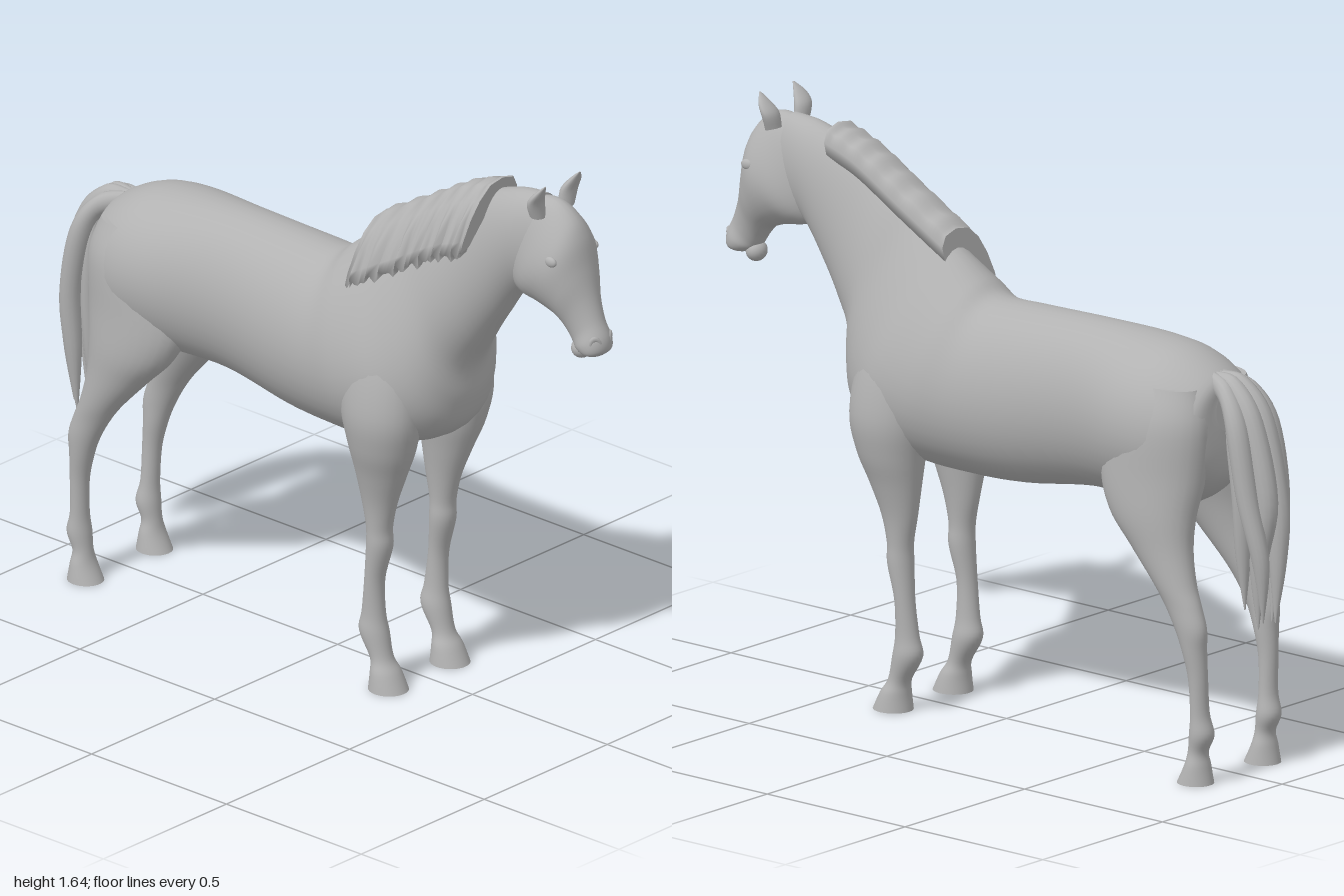
import * as THREE from 'three';

const coat = new THREE.MeshStandardMaterial({ color: 0xb2b2b2 });
coat.name = 'grey coat';

// Skins a list of closed rings (arrays of Vector3), with flat caps at both ends
function skin(rings) {
  const n = rings[0].length, pos = [], idx = [];
  rings.forEach(r => r.forEach(p => pos.push(p.x, p.y, p.z)));
  for (let i = 0; i < rings.length - 1; i++) for (let j = 0; j < n; j++) {
    const a = i * n + j, b = i * n + (j + 1) % n;
    idx.push(a, b, b + n, a, b + n, a + n);
  }
  [rings[0], rings[rings.length - 1]].forEach((r, e) => {
    const s = pos.length / 3, c = new THREE.Vector3();
    r.forEach(p => { pos.push(p.x, p.y, p.z); c.addScaledVector(p, 1 / n); });
    pos.push(c.x, c.y, c.z);
    for (let j = 0; j < n; j++) {
      const a = s + j, b = s + (j + 1) % n;
      e ? idx.push(a, b, s + n) : idx.push(b, a, s + n);
    }
  });
  // Turn the faces outward if the enclosed volume is negative
  let vol = 0;
  const v = k => new THREE.Vector3().fromArray(pos, idx[k] * 3);
  for (let k = 0; k < idx.length; k += 3) vol += v(k).dot(v(k + 1).cross(v(k + 2)));
  if (vol < 0) idx.reverse();
  const g = new THREE.BufferGeometry();
  g.setAttribute('position', new THREE.Float32BufferAttribute(pos, 3));
  g.setIndex(idx);
  g.computeVertexNormals();
  return g;
}

// Smooth values between the rows of a table
function sample(rows, t) {
  const f = t * (rows.length - 1), i = Math.min(Math.floor(f), rows.length - 2), u = f - i;
  const at = k => rows[Math.max(0, Math.min(rows.length - 1, k))];
  return rows[0].map((_, c) => {
    const p0 = at(i - 1)[c], p1 = at(i)[c], p2 = at(i + 1)[c], p3 = at(i + 2)[c];
    return p1 + 0.5 * u * (p2 - p0 + u * (2 * p0 - 5 * p1 + 4 * p2 - p3 + u * (3 * (p1 - p2) + p3 - p0)));
  });
}

// Loft through ovals: [zA, yA, zB, yB, half width, centre x, narrowing toward A]
function loft(rows, sides = 28, steps = 5) {
  const full = rows.map(r => [...r, 0, 0].slice(0, 7)), rings = [];
  const count = (rows.length - 1) * steps;
  for (let i = 0; i <= count; i++) {
    const [zA, yA, zB, yB, w, x, k] = sample(full, i / count);
    rings.push(Array.from({ length: sides }, (_, j) => {
      const a = j / sides * Math.PI * 2, s = Math.sin(a), h = 0.5 + s / 2;
      return new THREE.Vector3(x + w * Math.cos(a) * (1 - k * s), yB + (yA - yB) * h, zB + (zA - zB) * h);
    }));
  }
  return skin(rings);
}

const torsoRows = [ // rump to poll, top point then bottom point
  [-0.80, 1.08, -0.81, 0.97, 0.05, 0, 0], [-0.785, 1.125, -0.80, 0.84, 0.14, 0, 0],
  [-0.68, 1.18, -0.70, 0.75, 0.20, 0, 0], [-0.55, 1.2, -0.55, 0.735, 0.21, 0, 0],
  [-0.34, 1.205, -0.34, 0.73, 0.175, 0, 0], [-0.1, 1.2, -0.1, 0.695, 0.19, 0, 0.05],
  [0.02, 1.2, 0.08, 0.69, 0.205, 0, 0.1], [0.08, 1.24, 0.24, 0.7, 0.22, 0, 0.2],
  [0.15, 1.29, 0.38, 0.74, 0.215, 0, 0.3], [0.22, 1.335, 0.465, 0.80, 0.185, 0, 0.3],
  [0.3, 1.385, 0.50, 0.89, 0.15, 0, 0.3], [0.37, 1.43, 0.51, 0.99, 0.125, 0, 0.25],
  [0.45, 1.475, 0.56, 1.08, 0.105, 0, 0.2], [0.55, 1.53, 0.62, 1.17, 0.09, 0, 0.1],
  [0.68, 1.575, 0.70, 1.28, 0.08, 0, 0], [0.77, 1.585, 0.78, 1.31, 0.065, 0, 0],
];
const headRows = [ // poll to upper lip, forehead point then jaw point
  [0.74, 1.575, 0.665, 1.35, 0.05], [0.82, 1.582, 0.68, 1.295, 0.075, 0, 0.1],
  [0.88, 1.545, 0.72, 1.275, 0.095, 0, 0.1], [0.912, 1.49, 0.78, 1.265, 0.097],
  [0.93, 1.41, 0.84, 1.245, 0.08], [0.95, 1.33, 0.87, 1.215, 0.059],
  [0.973, 1.265, 0.89, 1.185, 0.05], [0.996, 1.215, 0.905, 1.17, 0.054],
  [0.998, 1.18, 0.93, 1.16, 0.046], [0.982, 1.163, 0.95, 1.158, 0.024],
];
const foreLegRows = [ // hoof to shoulder, front point then back point
  [0.36, 0, 0.245, 0, 0.055, 0.125], [0.335, 0.05, 0.25, 0.05, 0.046, 0.125],
  [0.31, 0.09, 0.245, 0.09, 0.034, 0.125], [0.295, 0.16, 0.205, 0.16, 0.039, 0.125],
  [0.285, 0.22, 0.215, 0.22, 0.031, 0.127], [0.285, 0.32, 0.228, 0.32, 0.03, 0.13],
  [0.31, 0.42, 0.235, 0.42, 0.038, 0.128], [0.311, 0.48, 0.235, 0.48, 0.037, 0.129],
  [0.33, 0.56, 0.22, 0.56, 0.045, 0.13], [0.365, 0.65, 0.205, 0.65, 0.063, 0.135],
  [0.4, 0.74, 0.19, 0.74, 0.085, 0.142], [0.42, 0.85, 0.17, 0.85, 0.095, 0.146],
  [0.4, 1.0, 0.16, 1.0, 0.08, 0.13], [0.33, 1.1, 0.2, 1.1, 0.04, 0.11],
];
const hindLegRows = [ // hoof to haunch
  [-0.755, 0, -0.86, 0, 0.05, 0.14], [-0.78, 0.05, -0.85, 0.05, 0.041, 0.14],
  [-0.79, 0.09, -0.845, 0.09, 0.031, 0.14], [-0.795, 0.14, -0.865, 0.14, 0.036, 0.14],
  [-0.8, 0.2, -0.852, 0.2, 0.029, 0.143], [-0.795, 0.3, -0.85, 0.3, 0.028, 0.147],
  [-0.775, 0.38, -0.848, 0.38, 0.034, 0.15], [-0.75, 0.44, -0.85, 0.44, 0.038, 0.152],
  [-0.715, 0.5, -0.83, 0.5, 0.042, 0.151], [-0.67, 0.56, -0.805, 0.56, 0.052, 0.148],
  [-0.585, 0.65, -0.785, 0.65, 0.068, 0.14], [-0.5, 0.74, -0.785, 0.74, 0.085, 0.13],
  [-0.46, 0.85, -0.8, 0.85, 0.1, 0.11], [-0.5, 1.0, -0.808, 1.0, 0.1, 0.1],
  [-0.58, 1.1, -0.775, 1.1, 0.07, 0.09],
];
const earRows = [
  [0.815, 1.54, 0.775, 1.55, 0.026, 0.058], [0.815, 1.585, 0.78, 1.59, 0.032, 0.068],
  [0.825, 1.615, 0.803, 1.62, 0.023, 0.073], [0.836, 1.645, 0.832, 1.645, 0.003, 0.07],
];

// Mane: a thick blanket over the crest with a ragged hem on the right side
function maneGeometry() {
  const crest = [[0.61, 1.55], [0.5, 1.51], [0.35, 1.425], [0.18, 1.33]];
  const rings = [], count = 48;
  for (let i = 0; i <= count; i++) {
    const [z, y] = sample(crest, i / count);
    const rag = 0.012 * Math.sin(i * 1.3) + 0.012 * Math.sin(i * 2.1 + 1);
    const ripple = 0.004 * Math.sin(i * 0.9);
    const slice = [
      [0.055, -0.05], [0.062, -0.01], [0.045, 0.022 + ripple], [0, 0.035 + ripple], [-0.05, 0.027 + ripple],
      [-0.09, -0.01], [-0.118 - rag * 0.4, -0.06], [-0.14 - rag * 0.7, -0.12], [-0.148 - rag * 0.5, -0.16 + rag],
      [-0.12, -0.15 + rag], [-0.09, -0.1], [-0.05, -0.04], [0, -0.03],
    ];
    rings.push(slice.map(([x, dy]) => new THREE.Vector3(x, y + dy, z + dy * 0.1)));
  }
  return skin(rings);
}

// Tail strand: follows a path from dock to tip, given depth at the back, tip position and side offset
function strand(back, tipZ, tipY, x) {
  const midY = (0.8 + tipY) / 2;
  return loft([
    [-0.77, 1.135, -0.77, 1.08, 0.02, x * 0.3],
    [-0.84 - back * 0.1, 1.085 + back * 0.45, -0.83, 1.04 + back * 0.2, 0.03, x * 0.7],
    [-0.885 - back * 0.55, 0.98 + back * 0.5, -0.835 - back * 0.5, 0.95 + back * 0.3, 0.034, x],
    [-0.9 - back, 0.8, -0.85 - back * 0.8, 0.8, 0.031, x],
    [tipZ - 0.02 - back * 0.12, midY, tipZ + 0.022, midY, 0.022, x * 0.85],
    [tipZ - 0.002, tipY, tipZ + 0.002, tipY, 0.002, x * 0.65],
  ], 14, 6);
}

export function createModel() {
  const horse = new THREE.Group();
  horse.name = 'horse';
  const add = (geometry, name) => {
    const mesh = new THREE.Mesh(geometry, coat);
    mesh.name = name;
    horse.add(mesh);
    return mesh;
  };
  const blob = (name, r, p, s) => {
    const mesh = add(new THREE.SphereGeometry(r, 20, 14), name);
    mesh.position.set(...p);
    mesh.scale.set(...s);
    return mesh;
  };

  add(loft(torsoRows, 40, 6), 'torsoAndNeck');
  add(loft(headRows, 32, 6), 'head');
  blob('lowerLip', 0.03, [0, 1.165, 0.907], [1.1, 1, 0.95]);
  add(maneGeometry(), 'mane');

  // Paired parts
  for (const [side, s] of [['left', 1], ['right', -1]]) {
    const mirror = rows => rows.map(r => r.map((v, i) => (i === 5 ? v * s : v)));
    add(loft(mirror(foreLegRows)), side + 'ForeLeg');
    add(loft(mirror(hindLegRows)), side + 'HindLeg');
    add(loft(mirror(earRows), 16), side + 'Ear');
    blob(side + 'Eye', 0.02, [s * 0.085, 1.435, 0.868], [0.5, 0.75, 1]);
    const nostril = add(new THREE.TorusGeometry(0.014, 0.006, 8, 18), side + 'Nostril');
    nostril.position.set(s * 0.028, 1.2, 0.982);
    nostril.rotation.set(0.1, s * 0.6, s * -0.3);
    nostril.scale.y = 1.4;
  }

  // Tail strands: depth, tip z, tip y, side offset
  [[0.1, -0.965, 0.45, -0.02], [0.095, -0.925, 0.43, 0.02], [0.06, -0.925, 0.44, -0.068],
    [0.06, -0.965, 0.46, 0.06], [0.01, -0.885, 0.46, -0.035], [0.01, -0.885, 0.48, 0.035],
  ].forEach((t, i) => add(strand(...t), 'tailStrand' + (i + 1)));
  return horse;
}
